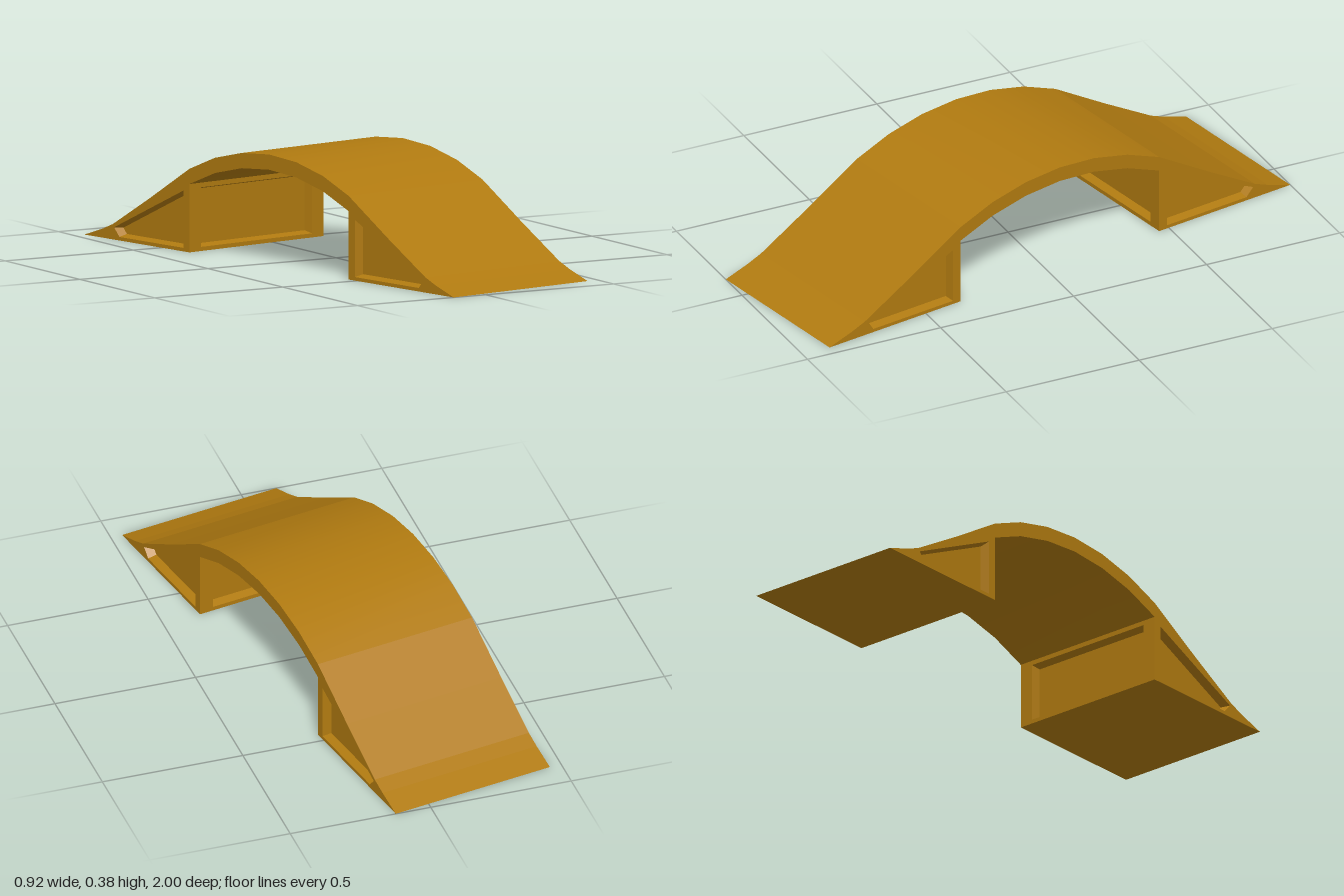
import * as THREE from 'three';

const WIDTH = 0.592, WALL = 0.415, ARC_R = 0.954, RECESS = 0.03, BEVEL = 0.008;
const V = (x, y) => new THREE.Vector2(x, y);
const mirror = (pts) => pts.map((p) => V(-p.x, p.y)).reverse();

const material = new THREE.MeshStandardMaterial({ color: 0xb07a10 });

// Points of a shallow circular arch, from left to right
function arch(crown) {
  const end = Math.asin(WALL / ARC_R), pts = [];
  for (let i = -3; i <= 3; i++) {
    const t = (end * i) / 3;
    pts.push(V(ARC_R * Math.sin(t), crown - ARC_R * (1 - Math.cos(t))));
  }
  return pts;
}

// Surface swept across the width along a counter-clockwise run of points
function strip(pts, smooth) {
  const pos = [], index = [];
  pts.forEach((p, i) => {
    pos.push(p.x, p.y, WIDTH / 2, p.x, p.y, -WIDTH / 2);
    if (i) {
      const a = 2 * i - 2;
      index.push(a, a + 1, a + 3, a, a + 3, a + 2);
    }
  });
  let geo = new THREE.BufferGeometry();
  geo.setAttribute('position', new THREE.Float32BufferAttribute(pos, 3));
  geo.setIndex(index);
  if (!smooth) geo = geo.toNonIndexed();
  geo.computeVertexNormals();
  return geo;
}

// Moves every edge of a counter-clockwise polygon inwards
function inset(pts, t) {
  const normal = (a, b) => V(a.y - b.y, b.x - a.x).normalize();
  return pts.map((p, i) => {
    const n1 = normal(pts.at(i - 1), p), n2 = normal(p, pts[(i + 1) % pts.length]);
    return p.clone().addScaledVector(n1.clone().add(n2), t / (1 + n1.dot(n2)));
  });
}

// Sloping walls of a recessed panel
function recessWalls(outer, inner) {
  const pos = [];
  outer.forEach((a, i) => {
    const j = (i + 1) % outer.length, b = outer[j], c = inner[j], d = inner[i];
    pos.push(a.x, a.y, 0, b.x, b.y, 0, c.x, c.y, -RECESS);
    pos.push(a.x, a.y, 0, c.x, c.y, -RECESS, d.x, d.y, -RECESS);
  });
  const geo = new THREE.BufferGeometry();
  geo.setAttribute('position', new THREE.Float32BufferAttribute(pos, 3));
  geo.computeVertexNormals();
  return geo;
}

function add(parent, geo, name) {
  const mesh = new THREE.Mesh(geo, material);
  mesh.name = name;
  parent.add(mesh);
  return mesh;
}

// Flat face towards +z with recessed panels
function panelledFace(outline, panels, name) {
  const group = new THREE.Group();
  group.name = name;
  const shape = new THREE.Shape(outline);
  shape.holes = panels.map((p) => new THREE.Path(p));
  add(group, new THREE.ShapeGeometry(shape), 'frame');
  for (const p of panels) {
    const floor = inset(p, BEVEL);
    add(group, recessWalls(p, floor), 'panelBevel');
    add(group, new THREE.ShapeGeometry(new THREE.Shape(floor)), 'panelFloor').position.z = -RECESS;
  }
  return group;
}

export function createModel() {
  const model = new THREE.Group();
  model.name = 'archBridge';
  const bridge = new THREE.Group();
  bridge.name = 'bridge';
  bridge.rotation.y = THREE.MathUtils.degToRad(10);
  model.add(bridge);

  // Profile pieces
  const under = arch(0.328), top = arch(0.38).reverse();
  const foot = [V(WALL, 0), V(0.963, 0)];
  const ramp = [V(0.963, 0), V(0.87, 0.03), V(0.815, 0.052), V(0.62, 0.163), top[0]];
  const outline = [...under, ...foot, ...ramp.slice(1), ...top.slice(1),
    ...mirror(ramp).slice(1), V(-WALL, 0)];

  // Deck, ramps and undersides, swept across the width
  const sweep = new THREE.Group();
  sweep.name = 'deck';
  sweep.rotation.y = Math.PI / 2;
  bridge.add(sweep);
  add(sweep, strip(top, true), 'deckArch');
  add(sweep, strip(under, true), 'archUnderside');
  for (const [side, flip] of [['front', mirror], ['back', (p) => p]]) {
    add(sweep, strip(flip(ramp), false), side + 'Ramp');
    add(sweep, strip(flip(foot), false), side + 'Base');
  }

  // Bridge sides with a wedge-shaped panel at each end
  const wedge = [V(0.447, 0.012), V(0.78, 0.012), V(0.808, 0.042), V(0.447, 0.207)];
  for (const s of [1, -1]) {
    const side = panelledFace(outline, [wedge, mirror(wedge)], s > 0 ? 'leftSide' : 'rightSide');
    side.rotation.y = (s * Math.PI) / 2;
    side.position.x = (s * WIDTH) / 2;
    bridge.add(side);
  }

  // Inner abutment walls facing the opening
  const h = under[0].y, w = WIDTH / 2;
  const rect = (x, y0, y1) => [V(-x, y0), V(x, y0), V(x, y1), V(-x, y1)];
  for (const s of [1, -1]) {
    const wall = panelledFace(rect(w, 0, h), [rect(w - 0.05, 0.014, 0.217)],
      s > 0 ? 'backAbutmentWall' : 'frontAbutmentWall');
    wall.rotation.y = s > 0 ? 0 : Math.PI;
    wall.position.z = -s * WALL;
    bridge.add(wall);
  }
  return model;
}
